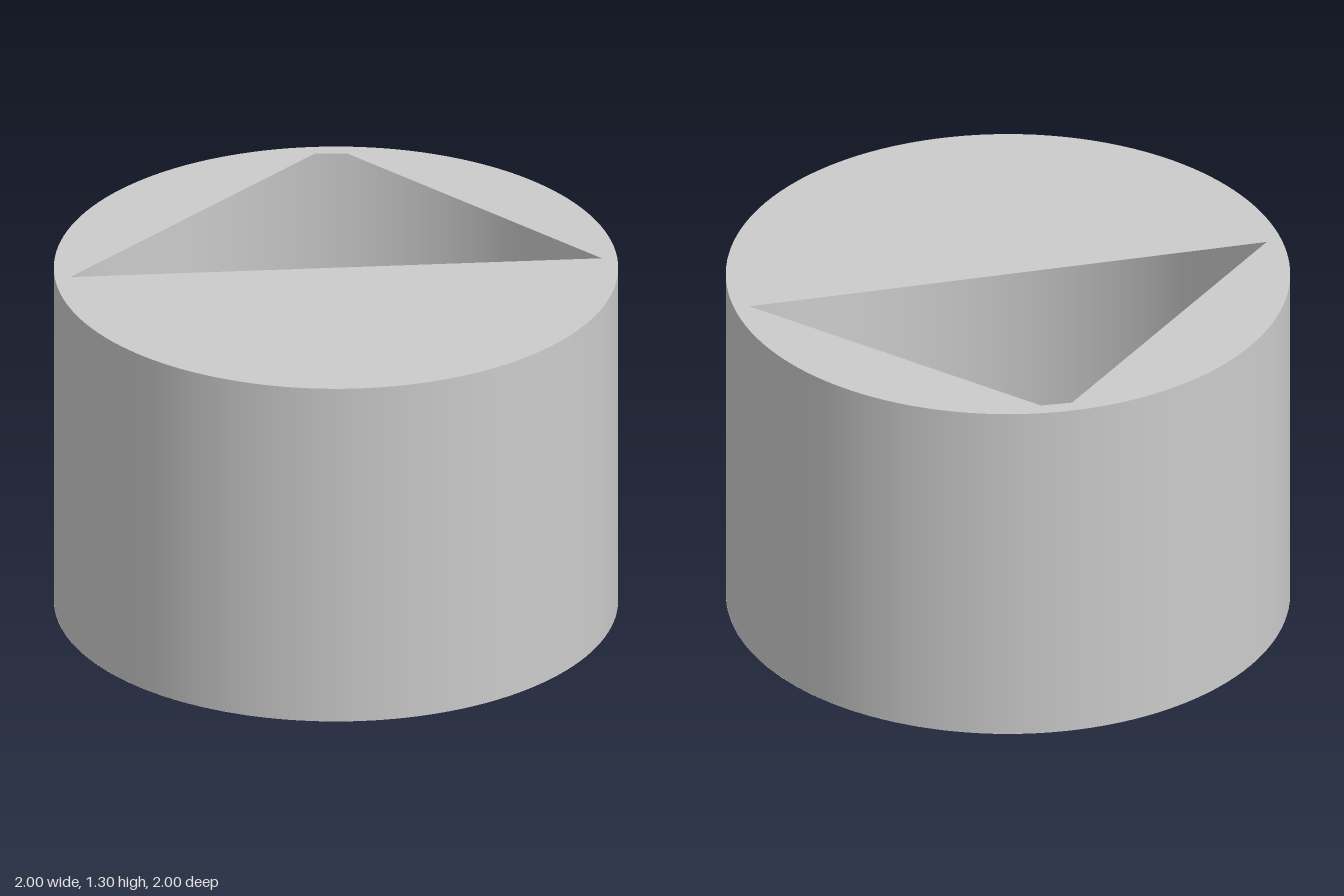
import * as THREE from 'three';

const R = 1, INNER = 0.945, H = 1.305, SEG = 72;

export function createModel() {
  const group = new THREE.Group();
  const material = new THREE.MeshStandardMaterial({ color: 0xcccccc, side: THREE.DoubleSide });

  const add = (name, geometry, y) => {
    const mesh = new THREE.Mesh(geometry, material);
    mesh.name = name;
    mesh.position.y = y;
    group.add(mesh);
  };

  // Thin disc with a near-triangular opening over the back half;
  // up = 1 faces upwards, up = -1 faces downwards
  const cap = (up, apexLeft, apexRight) => {
    const shape = new THREE.Shape().absarc(0, 0, R, 0, Math.PI * 2);
    const back = x => up * Math.sqrt(INNER * INNER - x * x);
    shape.holes.push(new THREE.Path([
      new THREE.Vector2(-INNER, 0),
      new THREE.Vector2(apexLeft, back(apexLeft)),
      new THREE.Vector2(apexRight, back(apexRight)),
      new THREE.Vector2(INNER, 0),
    ]));
    return new THREE.ShapeGeometry(shape, SEG).rotateX(-up * Math.PI / 2);
  };

  // Outer wall
  add('outerWall', new THREE.CylinderGeometry(R, R, H, SEG, 1, true), H / 2);

  // Inner wall, turned to face the axis
  const inner = new THREE.CylinderGeometry(INNER, INNER, H, SEG, 1, true);
  inner.scale(-1, 1, 1);
  const normals = inner.attributes.normal;
  for (let i = 0; i < normals.count; i++) {
    normals.setXYZ(i, -inner.attributes.position.getX(i) / INNER, 0, -inner.attributes.position.getZ(i) / INNER);
  }
  add('innerWall', inner, H / 2);

  // End caps, with slightly different blunt tips to their openings
  add('topCap', cap(1, 0.003, 0.115), H);
  add('bottomCap', cap(-1, -0.06, 0.052), 0);

  return group;
}
